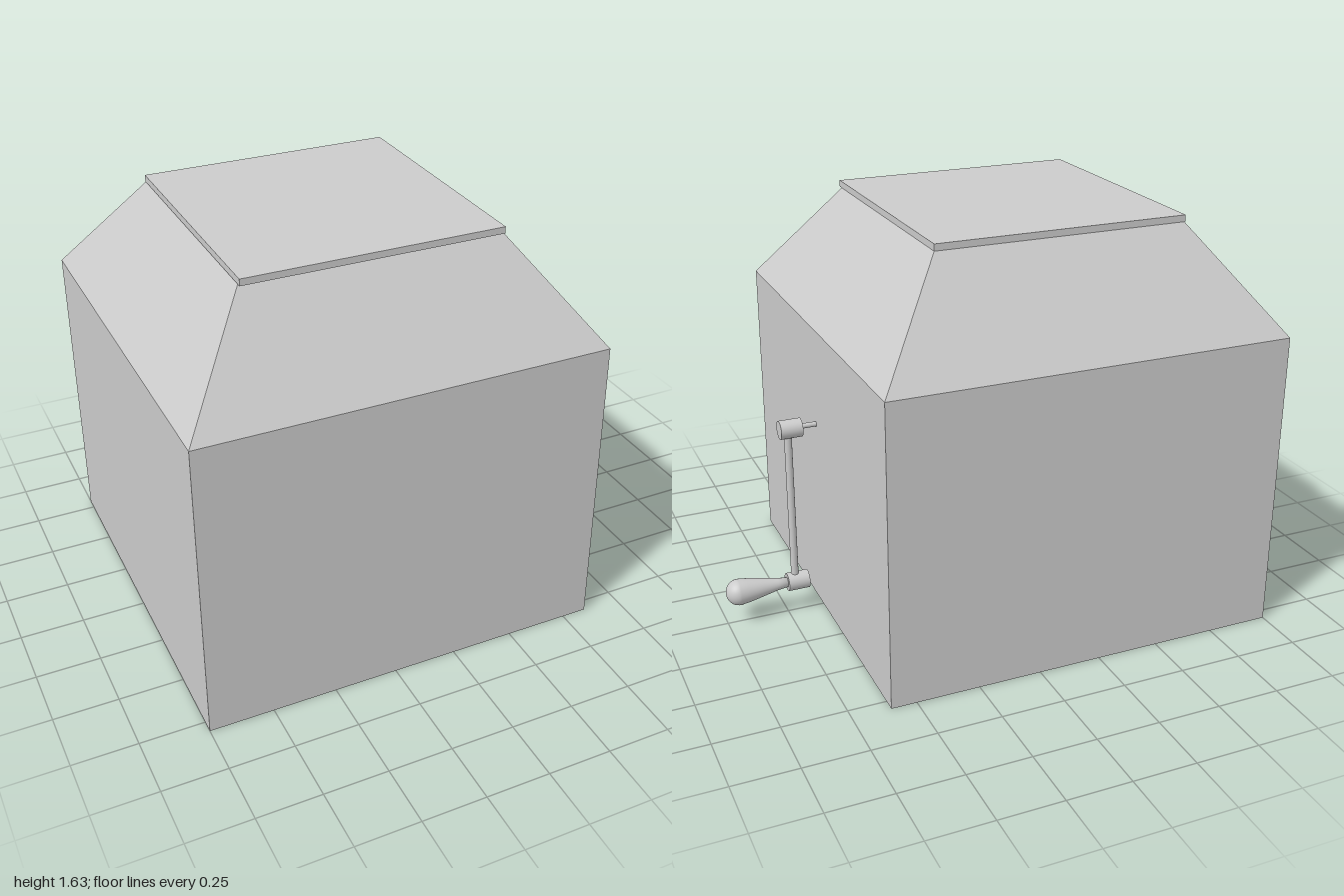
import * as THREE from 'three';

const smooth = new THREE.MeshStandardMaterial({ color: 0xcccccc });
const flat = new THREE.MeshStandardMaterial({ color: 0xcccccc, flatShading: true, side: THREE.DoubleSide });

export function createModel() {
  const model = new THREE.Group();

  function add(parent, name, geometry, material, x, y, z) {
    const mesh = new THREE.Mesh(geometry, material);
    mesh.name = name;
    mesh.position.set(x, y, z);
    parent.add(mesh);
    return mesh;
  }

  // Cylinder lying along x
  const axle = (radius, length) =>
    new THREE.CylinderGeometry(radius, radius, length, 32).rotateZ(-Math.PI / 2);

  // Square box body
  const bodyX = -0.2;
  add(model, 'body', new THREE.BoxGeometry(1.6, 1.2, 1.6), flat, bodyX, 0.6, 0);

  // Sloping shoulders: a four-sided open cone turned to line up with the body
  const shoulders = new THREE.CylinderGeometry(0.5 * Math.SQRT2, 0.8 * Math.SQRT2, 0.4, 4, 1, true);
  shoulders.rotateY(Math.PI / 4);
  add(model, 'shoulders', shoulders, flat, bodyX, 1.4, 0);

  // Lid, overhanging a little at the front
  add(model, 'lid', new THREE.BoxGeometry(1.004, 0.026, 1.025), flat, -0.202, 1.613, 0.0125);

  // Crank on the left side
  const crank = new THREE.Group();
  crank.name = 'crank';
  model.add(crank);
  const topY = 0.802, lowY = 0.133, armX = 0.705;
  add(crank, 'shaft', axle(0.01, 0.07), smooth, 0.622, 0.805, 0);
  add(crank, 'upperHub', axle(0.037, 0.087), smooth, armX, topY, 0);
  add(crank, 'lowerHub', axle(0.037, 0.087), smooth, armX, lowY, 0);
  add(crank, 'crankArm', new THREE.CylinderGeometry(0.015, 0.015, topY - lowY, 24), smooth,
    0.715, (topY + lowY) / 2, 0);

  // Pear-shaped grip: flared stem closed by a round end
  const stem = [[0, 0], [0.02, 0], [0.024, 0.04], [0.036, 0.1], [0.048, 0.16], [0.053, 0.2]];
  const profile = stem.map(([r, h]) => new THREE.Vector2(r, h));
  for (let i = 1; i <= 10; i++) {
    const a = (i / 10) * Math.PI / 2;
    profile.push(new THREE.Vector2(0.053 * Math.cos(a), 0.2 + 0.052 * Math.sin(a)));
  }
  const grip = new THREE.LatheGeometry(profile, 32).rotateZ(-Math.PI / 2);
  add(crank, 'grip', grip, smooth, 0.748, lowY, 0);

  return model;
}
